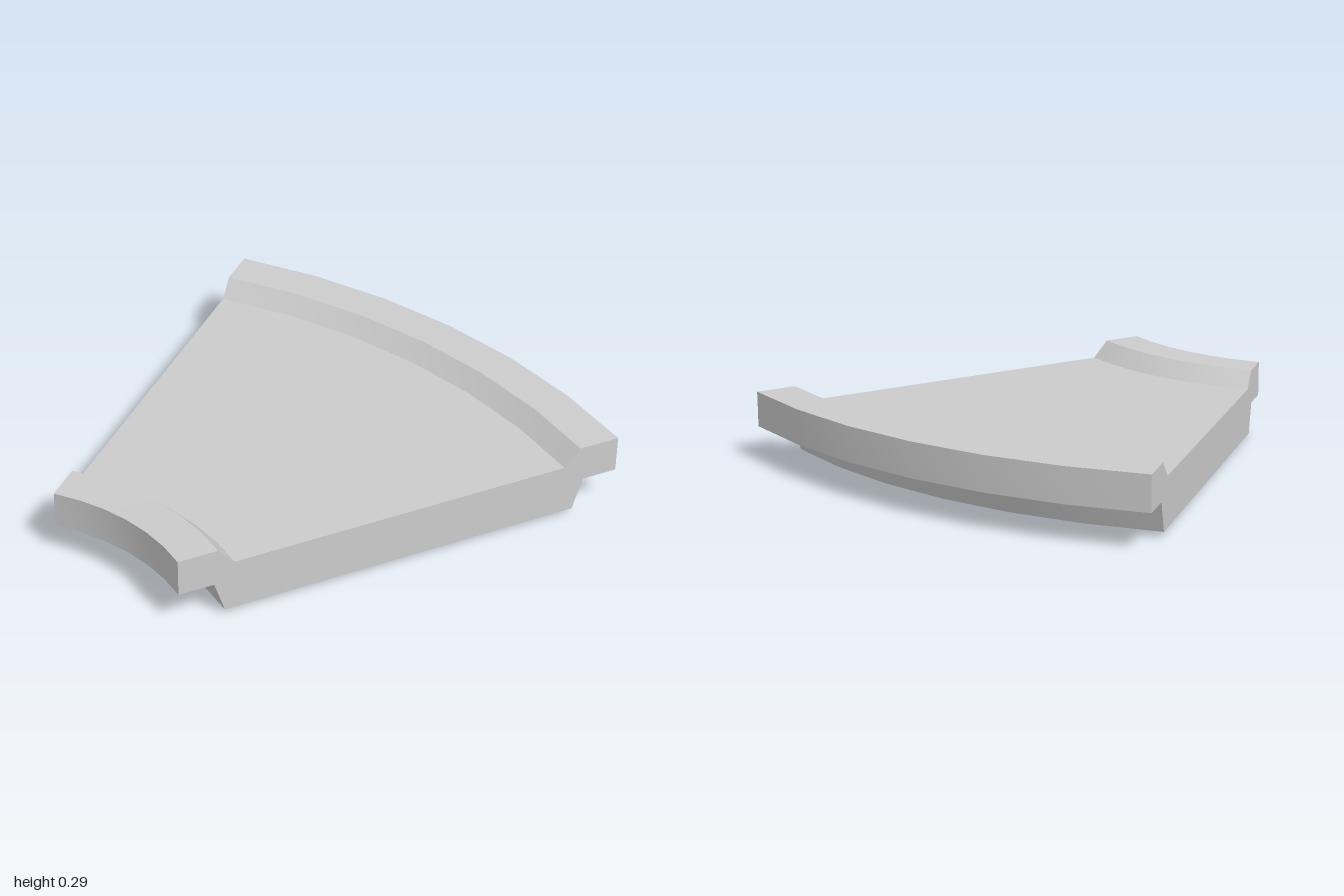
import * as THREE from 'three';

const CENTRE_X = -1.64, CENTRE_Z = 0.892;
const SWEEP = THREE.MathUtils.degToRad(42.5);
const STEPS = 6;

// Cross-section as [radius, height], anticlockwise seen from the front
const PROFILE = [
  [1.043, 0.0155], [2.46, 0.0155], [2.5, 0.138], [2.64, 0.138],
  [2.64, 0.279], [2.478, 0.279], [2.415, 0.212], [1.083, 0.212],
  [1.02, 0.279], [0.868, 0.279], [0.868, 0.138], [1.003, 0.138],
];

// Point on the swept section; banking grows gently along the curve
function place([r, y], t) {
  const a = t * SWEEP;
  return [
    CENTRE_X + r * Math.cos(a),
    y + t * 0.0178 * (r - 1.91),
    CENTRE_Z - r * Math.sin(a),
  ];
}

function curvedSegment() {
  const positions = [], indices = [];

  // One strip per profile edge: smooth along the curve, sharp across it
  PROFILE.forEach((a, i) => {
    const b = PROFILE[(i + 1) % PROFILE.length];
    const base = positions.length / 3;
    for (let s = 0; s <= STEPS; s++) {
      positions.push(...place(a, s / STEPS), ...place(b, s / STEPS));
      if (s === STEPS) continue;
      const k = base + s * 2;
      indices.push(k, k + 2, k + 1, k + 1, k + 2, k + 3);
    }
  });

  // Flat end faces
  const outline = PROFILE.map(([r, y]) => new THREE.Vector2(r, y));
  const faces = THREE.ShapeUtils.triangulateShape(outline, []);
  for (const t of [0, 1]) {
    const base = positions.length / 3;
    PROFILE.forEach((p) => positions.push(...place(p, t)));
    for (const [a, b, c] of faces) {
      if (t === 0) indices.push(base + a, base + b, base + c);
      else indices.push(base + a, base + c, base + b);
    }
  }

  const geometry = new THREE.BufferGeometry();
  geometry.setAttribute('position', new THREE.Float32BufferAttribute(positions, 3));
  geometry.setIndex(indices);
  geometry.computeVertexNormals();
  return geometry;
}

export function createModel() {
  const group = new THREE.Group();
  group.name = 'curvedTrack';
  const segment = new THREE.Mesh(
    curvedSegment(),
    new THREE.MeshStandardMaterial({ color: 0xcccccc })
  );
  segment.name = 'curvedTrackSegment';
  group.add(segment);
  return group;
}
